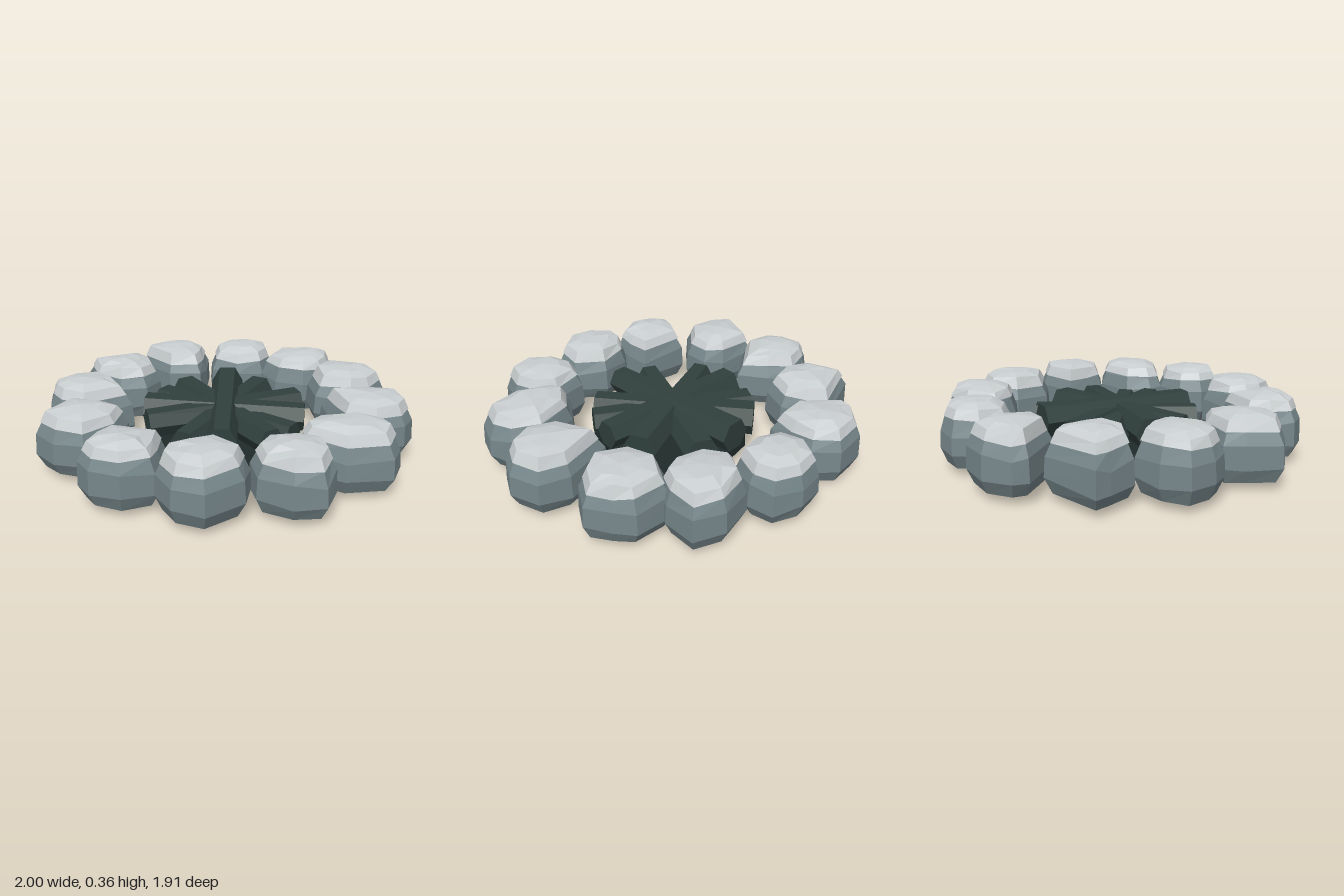
import * as THREE from 'three';

const stoneGrey = new THREE.MeshStandardMaterial({ color: 0x76868a });
stoneGrey.name = 'stone grey';
const paleGrey = new THREE.MeshStandardMaterial({ color: 0xc9ced0 });
paleGrey.name = 'pale grey';
const charredWood = new THREE.MeshStandardMaterial({ color: 0x30403d });
charredWood.name = 'charred wood';
const ash = new THREE.MeshStandardMaterial({ color: 0x1f2a29 });
ash.name = 'ash';

// Split faces so that every facet is flat
function facet(geometry) {
  const g = geometry.index ? geometry.toNonIndexed() : geometry;
  g.computeVertexNormals();
  return g;
}

function part(name, geometry, material) {
  const mesh = new THREE.Mesh(facet(geometry), material);
  mesh.name = name;
  return mesh;
}

// Skin scaled copies of an outline; rings are [scale, y, height variation]
function loft(outline, rings, random) {
  const n = outline.length;
  const cx = outline.reduce((s, p) => s + p[0], 0) / n;
  const cz = outline.reduce((s, p) => s + p[1], 0) / n;
  const loops = rings.map(([s, y, vary]) => outline.map(([x, z]) =>
    [cx + (x - cx) * s, y + (random() - 0.5) * vary, cz + (z - cz) * s]));
  const pos = [];
  for (let r = 0; r + 1 < rings.length; r++) {
    const a = loops[r], b = loops[r + 1];
    for (let i = 0; i < n; i++) {
      const j = (i + 1) % n;
      if (rings[r][0] > 0) pos.push(...a[j], ...a[i], ...b[i]);
      if (rings[r + 1][0] > 0) pos.push(...a[j], ...b[i], ...b[j]);
    }
  }
  const g = new THREE.BufferGeometry();
  g.setAttribute('position', new THREE.Float32BufferAttribute(pos, 3));
  return g;
}

export function createModel() {
  const group = new THREE.Group();
  group.name = 'firePit';
  let seed = 7;
  const random = () => (seed = (seed * 16807) % 2147483647) / 2147483647;

  // Ring stone with a pale overhanging top, from its plan outline
  function stone(...outline) {
    const g = new THREE.Group();
    g.name = 'ringStone';
    g.add(part('stoneBody', loft(outline, [
      [0, 0.04, 0], [0.83, 0.04, 0], [1, 0.11, 0.02],
      [0.97, 0.215, 0.03], [0.83, 0.282, 0.01], [0, 0.3, 0],
    ], random), stoneGrey));
    g.add(part('stoneTop', loft(outline, [
      [0, 0.285, 0], [0.86, 0.283, 0.02], [0.74, 0.335, 0.02],
      [0.44, 0.354, 0.012], [0, 0.362, 0],
    ], random), paleGrey));
    group.add(g);
  }

  // Stones, clockwise as seen from above
  stone([.51, -.11], [.78, -.20], [.94, -.16], [1, 0], [.95, .12], [.80, .20], [.62, .14], [.57, .03]);
  stone([.39, .37], [.47, .24], [.70, .16], [.86, .23], [.91, .35], [.87, .49], [.64, .55], [.41, .45]);
  stone([.19, .61], [.24, .48], [.42, .44], [.56, .50], [.60, .64], [.56, .79], [.41, .82], [.24, .76]);
  stone([-.21, .67], [-.14, .58], [.04, .53], [.21, .64], [.20, .80], [.04, .95], [-.12, .91], [-.22, .78]);
  stone([-.50, .47], [-.21, .49], [-.20, .64], [-.21, .76], [-.36, .84], [-.52, .80], [-.60, .71], [-.56, .59]);
  stone([-.80, .17], [-.57, .18], [-.46, .24], [-.47, .40], [-.61, .56], [-.78, .53], [-.90, .44], [-.84, .27]);
  stone([-1, -.09], [-.89, -.19], [-.73, -.24], [-.61, -.13], [-.50, 0], [-.72, .18], [-.88, .14], [-.96, .05]);
  stone([-.90, -.48], [-.59, -.61], [-.49, -.53], [-.43, -.40], [-.48, -.25], [-.63, -.21], [-.80, -.26], [-.87, -.40]);
  stone([-.62, -.76], [-.51, -.87], [-.32, -.90], [-.20, -.80], [-.19, -.65], [-.21, -.52], [-.40, -.50], [-.62, -.68]);
  stone([-.19, -.80], [-.12, -.93], [.03, -.96], [.18, -.91], [.21, -.78], [.16, -.63], [0, -.58], [-.16, -.64]);
  stone([.23, -.80], [.42, -.86], [.58, -.81], [.58, -.63], [.53, -.52], [.41, -.46], [.24, -.51], [.14, -.63]);
  stone([.52, -.61], [.72, -.61], [.80, -.53], [.88, -.42], [.80, -.27], [.68, -.19], [.48, -.26], [.43, -.45]);

  // Shallow bed of ash
  const bed = [];
  for (let i = 0; i < 12; i++) {
    const a = i / 12 * Math.PI * 2;
    bed.push([0.42 * Math.cos(a), 0.42 * Math.sin(a)]);
  }
  group.add(part('ashBed', loft(bed, [[0, 0, 0], [1, 0.05, 0], [0.98, 0.1, 0], [0, 0.13, 0]], random), ash));

  // Six-sided logs crossing at the centre: direction x, z and height
  const logs = [
    [0.09, 1, 0.225], [1, 0.01, 0.205], [-1, 0.5, 0.2],
    [-0.39, 1, 0.185], [0.84, 1, 0.19], [1, 0.54, 0.175],
  ];
  for (const [x, z, y] of logs) {
    const g = new THREE.CylinderGeometry(0.075, 0.09, 0.86, 6);
    g.rotateY(Math.PI / 6).rotateX(Math.PI / 2);
    const log = part('charredLog', g, charredWood);
    log.rotation.y = Math.atan2(x, z);
    log.position.set(0, y, -0.02 * z);
    group.add(log);
  }
  return group;
}
